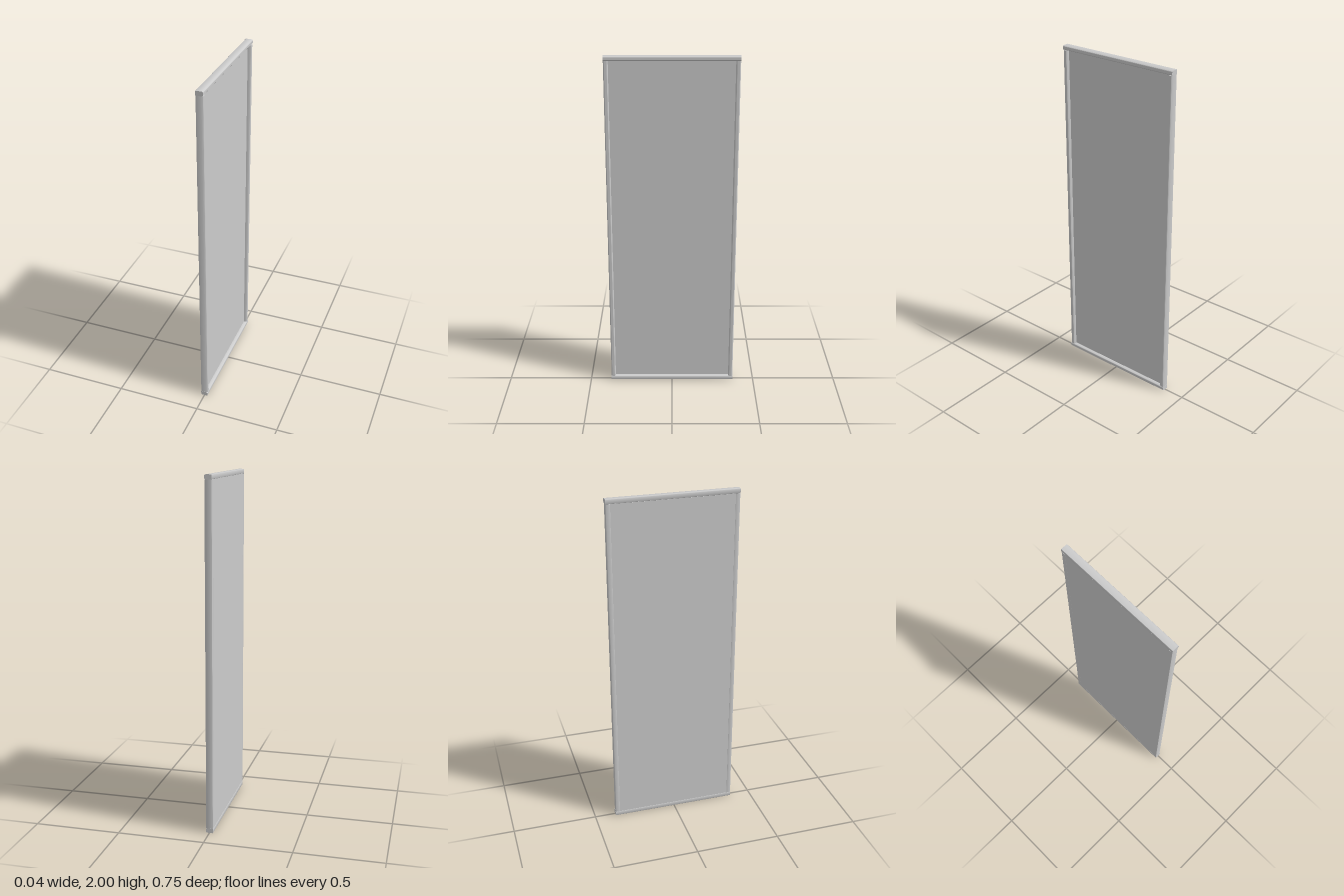
import * as THREE from 'three';
import { toCreasedNormals } from 'three/addons/utils/BufferGeometryUtils.js';

const D = 0.021; // half depth
const HALF_Z = 0.375;

// Bar section: flat at the back (-x), rounded on the +x edges, swept along z
function barGeometry(height, length) {
  const h = height / 2, r = 0.01, s = 0.002;
  const p = new THREE.Shape();
  p.moveTo(-D + s, -h);
  p.lineTo(D - r, -h);
  p.absarc(D - r, -h + r, r, -Math.PI / 2, 0, false);
  p.absarc(D - r, h - r, r, 0, Math.PI / 2, false);
  p.lineTo(-D + s, h);
  p.absarc(-D + s, h - s, s, Math.PI / 2, Math.PI, false);
  p.absarc(-D + s, -h + s, s, Math.PI, Math.PI * 1.5, false);
  const g = new THREE.ExtrudeGeometry(p, { depth: length, bevelEnabled: false, curveSegments: 8 });
  g.translate(0, 0, -length / 2);
  return toCreasedNormals(g, 0.6);
}

export function createModel() {
  const group = new THREE.Group();
  const material = new THREE.MeshStandardMaterial({ color: 0xcccccc });
  const add = (name, geometry, x, y, z) => {
    const mesh = new THREE.Mesh(geometry, material);
    mesh.name = name;
    mesh.position.set(x, y, z);
    group.add(mesh);
  };

  // Rails run the full width at top and bottom
  const railH = 0.026;
  const rail = barGeometry(railH, HALF_Z * 2);
  add('topRail', rail, 0, 2 - railH / 2, 0);
  add('bottomRail', rail, 0, railH / 2, 0);

  // Stiles stand between the rails
  const stileW = 0.026, stileH = 2 - railH * 2;
  const stile = barGeometry(stileW, stileH).rotateX(-Math.PI / 2);
  const stileZ = HALF_Z - 0.001 - stileW / 2;
  add('frontStile', stile, 0, 1, stileZ);
  add('backStile', stile, 0, 1, -stileZ);

  // Panel: flush on -x, recessed on +x
  const thick = 0.021;
  add('panel', new THREE.BoxGeometry(thick, stileH, 2 * stileZ - stileW + 0.004),
    -D + 0.0005 + thick / 2, 1, 0);

  return group;
}
